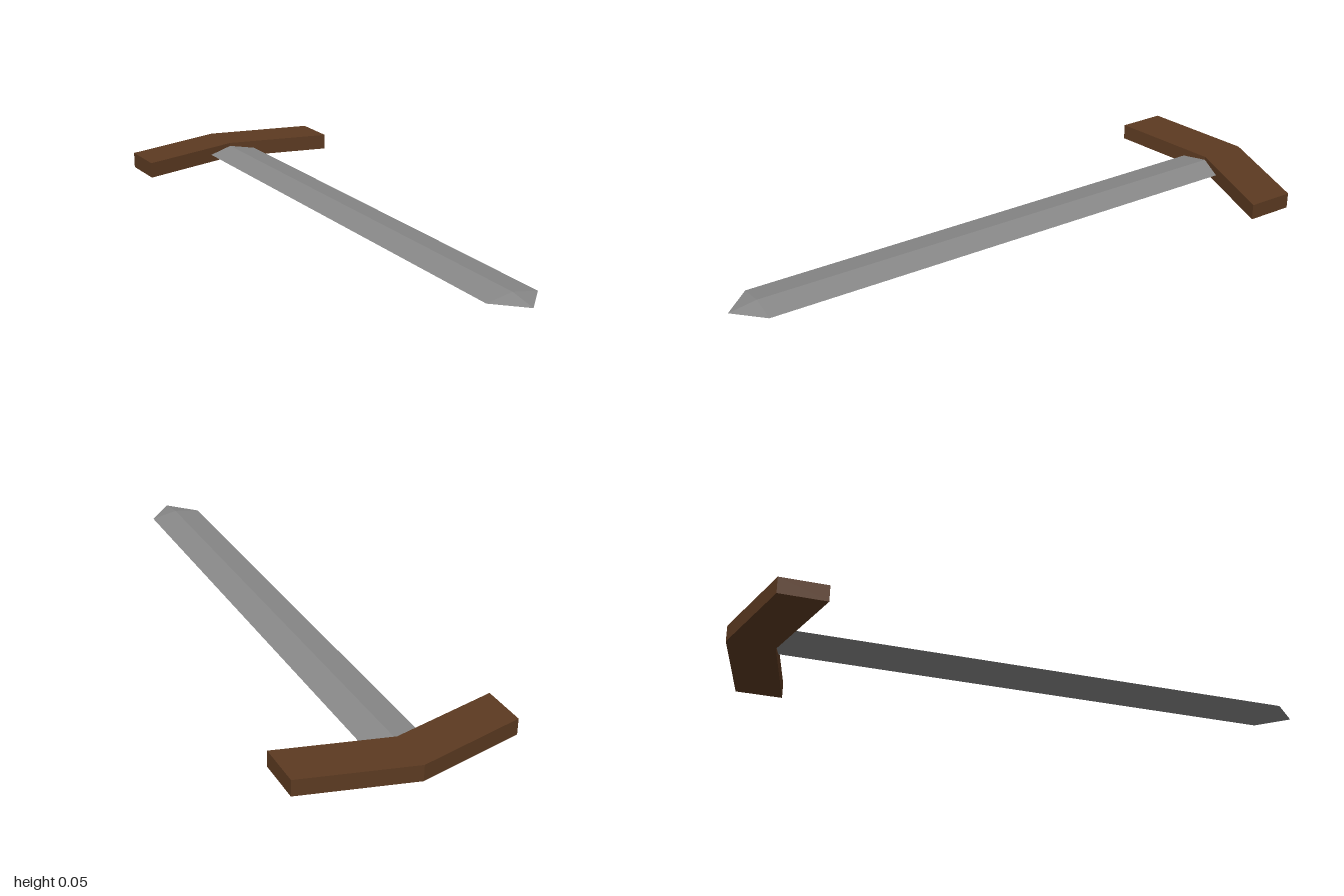
import * as THREE from 'three';

export function createModel() {
  const group = new THREE.Group();
  group.name = 'sword';
  const wood = new THREE.MeshStandardMaterial({ name: 'brown wood', color: 0x5c3a21, flatShading: true });
  const steel = new THREE.MeshStandardMaterial({ name: 'grey steel', color: 0x888888, flatShading: true });

  const add = (name, geometry, material) => {
    const mesh = new THREE.Mesh(geometry, material);
    mesh.name = name;
    group.add(mesh);
  };

  const height = 0.055, halfWidth = 0.092, halfThick = 0.016;
  const bladeStart = -0.9, shoulder = 0.905, tip = 1;

  // Crossguard: flat chevron swept toward the blade, drawn in x and z
  const outline = [[-0.368, -0.91], [0, -1], [0.368, -0.91], [0.368, -0.753], [0, -0.843], [-0.368, -0.753]];
  const shape = new THREE.Shape(outline.map(([x, z]) => new THREE.Vector2(x, z)));
  const guard = new THREE.ExtrudeGeometry(shape, { depth: height, bevelEnabled: false });
  guard.rotateX(Math.PI / 2).translate(0, height, 0);
  add('crossguard', guard, wood);

  // Diamond-section length running along z, tapering to the given end scale
  const diamond = (endScale, z0, z1, openEnded) =>
    new THREE.CylinderGeometry(endScale, 1, z1 - z0, 4, 1, openEnded)
      .rotateX(Math.PI / 2)
      .scale(halfWidth, halfThick, 1)
      .translate(0, height / 2, (z0 + z1) / 2);

  // Blade, rooted inside the guard, and its pointed end
  add('blade', diamond(1, bladeStart, shoulder, false), steel);
  add('bladeTip', diamond(0, shoulder, tip, true), steel);

  return group;
}
